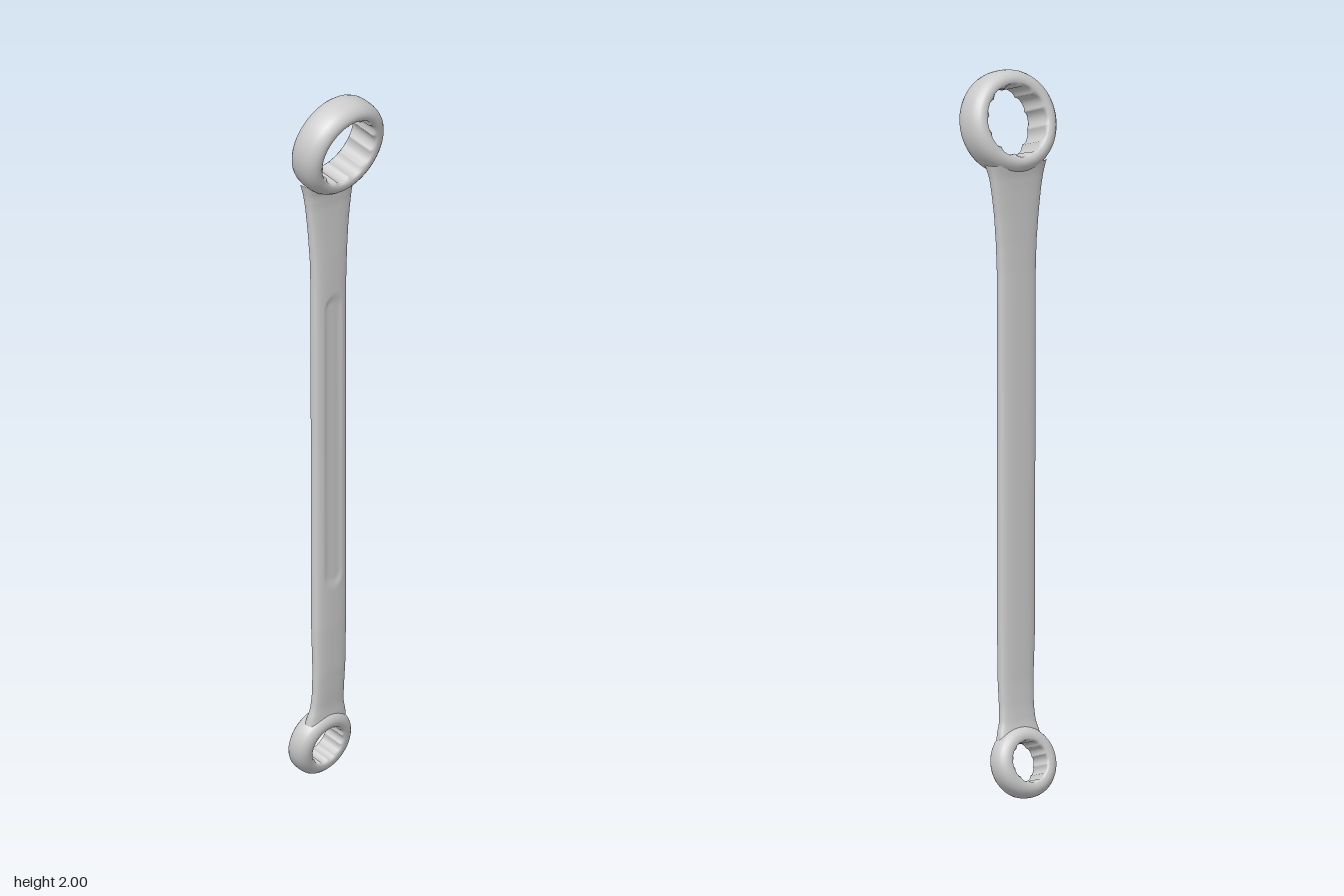
import * as THREE from 'three';
import { mergeVertices } from 'three/addons/utils/BufferGeometryUtils.js';

const material = new THREE.MeshStandardMaterial({ color: 0xcccccc });
const TILT = THREE.MathUtils.degToRad(15);

// Ring with a rounded outer wall and a twelve-point hole, axis along z
function ringGeometry(outer, hole, half) {
  const wall = outer - hole;
  // [fraction of the wall from hole to outside, fraction of the half thickness]
  const side = [[0, 0.8], [0.03, 0.92], [0.12, 0.98], [0.3, 1], [0.46, 0.98], [0.64, 0.9], [0.82, 0.74], [0.94, 0.52], [0.99, 0.26], [1, 0]];
  const back = side.map(([f, z]) => new THREE.Vector2(hole + wall * f, -half * z));
  const front = side.slice(0, -1).reverse().map(([f, z]) => new THREE.Vector2(hole + wall * f, half * z));
  const profile = [...back, ...front, back[0].clone()];
  const g = new THREE.LatheGeometry(profile, 144);
  const p = g.attributes.position;
  // Press the hole wall into twelve lobes
  for (let i = 0; i < p.count; i++) {
    const x = p.getX(i), z = p.getZ(i), r = Math.hypot(x, z);
    if (r < hole + wall * 0.01) {
      const k = 0.92 + 0.08 * Math.abs(Math.cos(6 * Math.atan2(z, x)));
      p.setX(i, x * k);
      p.setZ(i, z * k);
    }
  }
  g.deleteAttribute('uv');
  g.deleteAttribute('normal');
  const welded = mergeVertices(g, 1e-5);
  welded.rotateX(Math.PI / 2);
  welded.computeVertexNormals();
  return welded;
}

// Shank sections: y, centre x, half width, centre z, half thickness
const SECTIONS = [
  [0.165, 0, 0.07, -0.024, 0.024],
  [0.185, 0, 0.066, -0.021, 0.021],
  [0.21, 0, 0.058, -0.018, 0.018],
  [0.25, 0, 0.055, -0.014, 0.018],
  [0.32, 0, 0.056, -0.010, 0.019],
  [0.45, -0.003, 0.059, -0.008, 0.021],
  [1.45, -0.004, 0.061, -0.008, 0.021],
  [1.53, -0.003, 0.064, -0.009, 0.021],
  [1.61, -0.002, 0.071, -0.011, 0.021],
  [1.68, 0, 0.080, -0.013, 0.022],
  [1.72, 0, 0.087, -0.013, 0.025],
  [1.745, 0, 0.094, -0.011, 0.032],
  [1.755, 0, 0.097, -0.010, 0.036],
];

function sectionAt(y) {
  let i = 0;
  while (i < SECTIONS.length - 2 && y > SECTIONS[i + 1][0]) i++;
  const a = SECTIONS[i], b = SECTIONS[i + 1];
  const t = (y - a[0]) / (b[0] - a[0]);
  return a.map((v, k) => THREE.MathUtils.lerp(v, b[k], t));
}

// Flattened oval loft with a shallow round-ended groove on the front
function shankGeometry() {
  const rows = 160, cols = 56, pos = [], index = [];
  const power = (v, e) => Math.sign(v) * Math.abs(v) ** e;
  const y0 = SECTIONS[0][0], y1 = SECTIONS[SECTIONS.length - 1][0];
  for (let i = 0; i <= rows; i++) {
    const [y, cx, w, cz, t] = sectionAt(y0 + (y1 - y0) * i / rows);
    for (let j = 0; j < cols; j++) {
      const a = j / cols * Math.PI * 2;
      const x = w * power(Math.cos(a), 0.75);
      let z = -t * power(Math.sin(a), 0.65);
      if (z > 0) {
        const dy = y - THREE.MathUtils.clamp(y, 0.6, 1.38);
        z -= 0.004 * (1 - THREE.MathUtils.smoothstep(Math.hypot(x, dy), 0.022, 0.034));
      }
      pos.push(cx + x, y, cz + z);
      if (i < rows) {
        const n = (j + 1) % cols, b = i * cols, c = b + cols;
        index.push(b + j, b + n, c + n, b + j, c + n, c + j);
      }
    }
  }
  const g = new THREE.BufferGeometry();
  g.setAttribute('position', new THREE.Float32BufferAttribute(pos, 3));
  g.setIndex(index);
  g.computeVertexNormals();
  return g;
}

export function createModel() {
  const model = new THREE.Group();
  model.name = 'ringSpanner';
  const add = (name, geometry) => {
    const mesh = new THREE.Mesh(geometry, material);
    mesh.name = name;
    model.add(mesh);
    return mesh;
  };

  add('shank', shankGeometry());

  // Both ring heads lean the same way
  for (const [name, outer, hole, half, y, z] of [
    ['largeRing', 0.143, 0.1, 0.051, 1.859, 0.024],
    ['smallRing', 0.098, 0.058, 0.037, 0.1, -0.045],
  ]) {
    const ring = add(name, ringGeometry(outer, hole, half));
    ring.position.set(0, y, z);
    ring.rotation.x = TILT;
  }

  // The whole tool is turned very slightly
  model.rotation.y = 0.04;
  return model;
}
